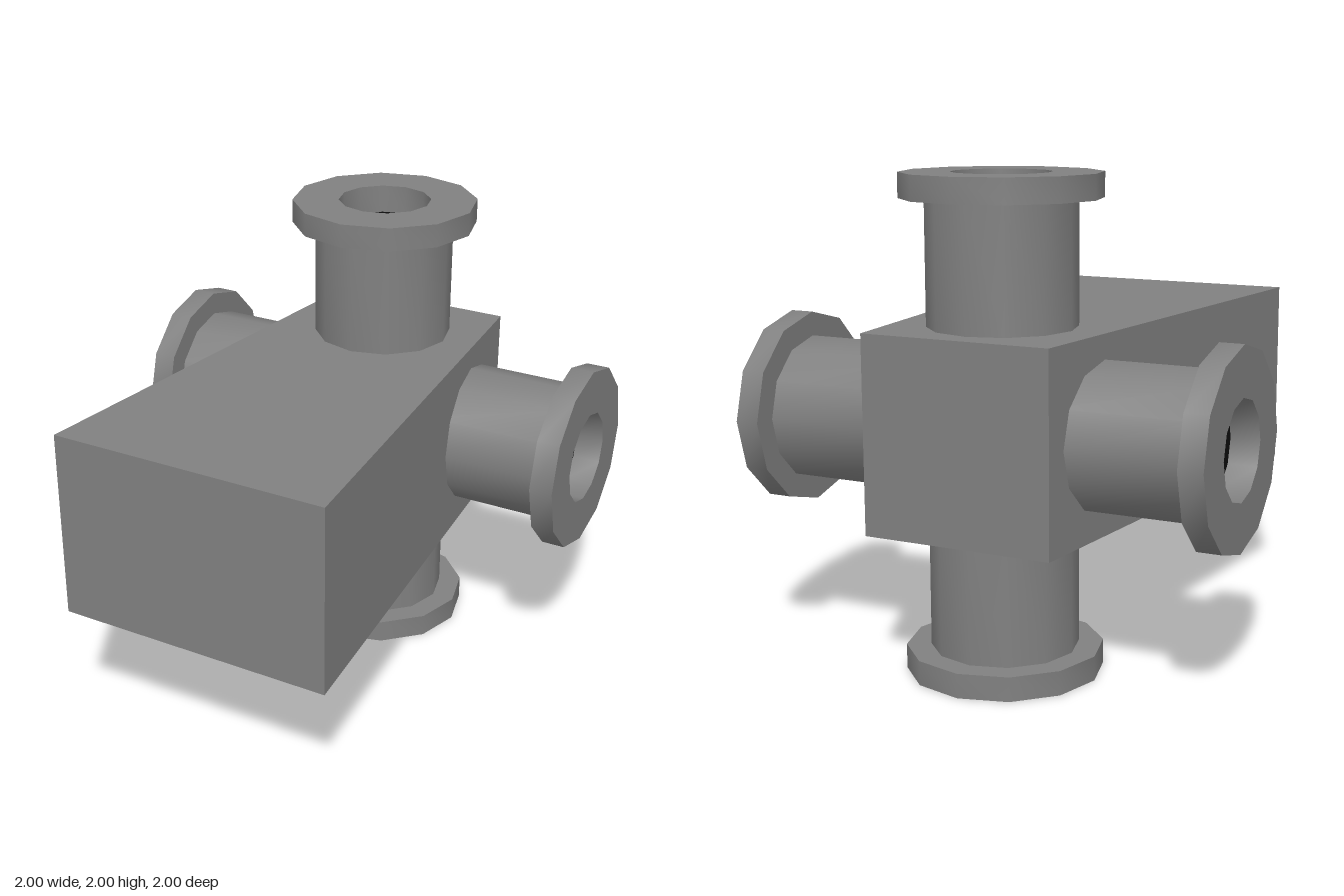
import * as THREE from 'three';
import { toCreasedNormals } from 'three/addons/utils/BufferGeometryUtils.js';

const SIDES = 12;
const BORE_DEPTH = 0.12;

export function createModel() {
  const model = new THREE.Group();
  model.name = 'pipeJunction';
  const grey = new THREE.MeshStandardMaterial({ name: 'grey metal', color: 0x808080 });
  const black = new THREE.MeshStandardMaterial({ name: 'black opening', color: 0x0d0d0d });

  // Body: a box whose width tapers from front to back
  const box = new THREE.BoxGeometry(1, 0.8, 2);
  const pos = box.attributes.position;
  for (let i = 0; i < pos.count; i++) {
    pos.setX(i, pos.getX(i) * (pos.getZ(i) > 0 ? 1.2 : 0.8));
  }
  box.computeVertexNormals();
  const body = new THREE.Mesh(box, grey);
  body.name = 'body';
  body.position.y = 1;
  model.add(body);

  // Nozzle: pipe, flange and short bore in one turned profile
  const profile = [
    [0.3, 0.35], [0.3, 0.9], [0.4, 0.9], [0.4, 1], [0.2, 1], [0.2, 1 - BORE_DEPTH],
  ].map(([r, y]) => new THREE.Vector2(r, y));
  const nozzleGeometry = toCreasedNormals(new THREE.LatheGeometry(profile, SIDES), 0.7);

  // Dark floor of the bore
  const openingGeometry = new THREE.CircleGeometry(0.2, SIDES);
  openingGeometry.rotateX(-Math.PI / 2);
  openingGeometry.translate(0, 1 - BORE_DEPTH, 0);

  // Four nozzles around the rear of the body
  ['top', 'left', 'bottom', 'right'].forEach((side, i) => {
    const nozzle = new THREE.Group();
    nozzle.name = side + 'Nozzle';
    const pipe = new THREE.Mesh(nozzleGeometry, grey);
    pipe.name = side + 'FlangedPipe';
    const opening = new THREE.Mesh(openingGeometry, black);
    opening.name = side + 'Opening';
    nozzle.add(pipe, opening);
    nozzle.position.set(0, 1, -0.6);
    nozzle.rotation.z = -i * Math.PI / 2;
    model.add(nozzle);
  });

  return model;
}
